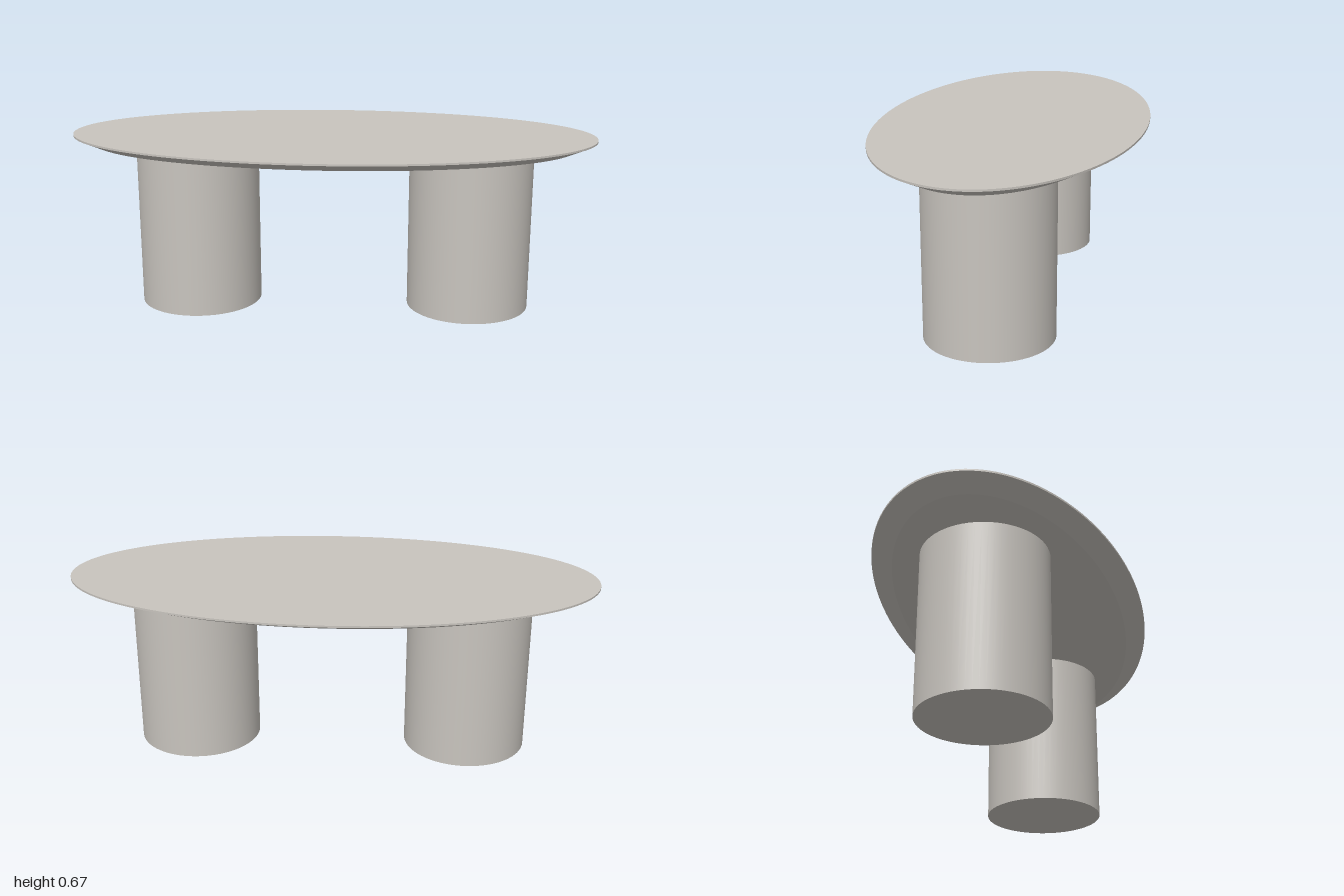
import * as THREE from 'three';

const SEGMENTS = 128;
const OUTER = [1, 0.506];
const INNER = [0.92, 0.427];
const TOP_Y = 0.669, RIM_Y = 0.662, UNDER_Y = 0.627;

// Elliptical band between two heights, each end with its own half-axes
function ellipseBand(upper, lower, yTop, yBottom) {
  const geo = new THREE.CylinderGeometry(1, 1, 1, SEGMENTS, 1, true);
  const pos = geo.attributes.position;
  for (let i = 0; i < pos.count; i++) {
    const isTop = pos.getY(i) > 0;
    const [a, b] = isTop ? upper : lower;
    pos.setXYZ(i, pos.getX(i) * a, isTop ? yTop : yBottom, pos.getZ(i) * b);
  }
  geo.computeVertexNormals();
  return geo;
}

// Flat elliptical face pointing up or down
function ellipseFace([a, b], y, up) {
  return new THREE.CircleGeometry(1, SEGMENTS)
    .scale(a, b, 1)
    .rotateX(up ? -Math.PI / 2 : Math.PI / 2)
    .translate(0, y, 0);
}

export function createModel() {
  const model = new THREE.Group();
  model.name = 'ovalTable';
  const stone = new THREE.MeshStandardMaterial({ color: 0xc8c4be });
  stone.name = 'warm grey stone';

  const add = (parent, name, geo) => {
    const mesh = new THREE.Mesh(geo, stone);
    mesh.name = name;
    parent.add(mesh);
    return mesh;
  };

  // Tabletop: thin upright rim above a wide undercut bevel
  const top = new THREE.Group();
  top.name = 'tabletop';
  add(top, 'topSurface', ellipseFace(OUTER, TOP_Y, true));
  add(top, 'rim', ellipseBand(OUTER, OUTER, TOP_Y, RIM_Y));
  add(top, 'underBevel', ellipseBand(OUTER, INNER, RIM_Y, UNDER_Y));
  add(top, 'underside', ellipseFace(INNER, UNDER_Y, false));
  model.add(top);

  // Two cylindrical pedestals, set slightly toward the left
  for (const [name, x] of [['rightLeg', -0.522], ['leftLeg', 0.532]]) {
    const leg = add(model, name, new THREE.CylinderGeometry(0.235, 0.235, UNDER_Y, 64));
    leg.position.set(x, UNDER_Y / 2, 0);
  }
  return model;
}
